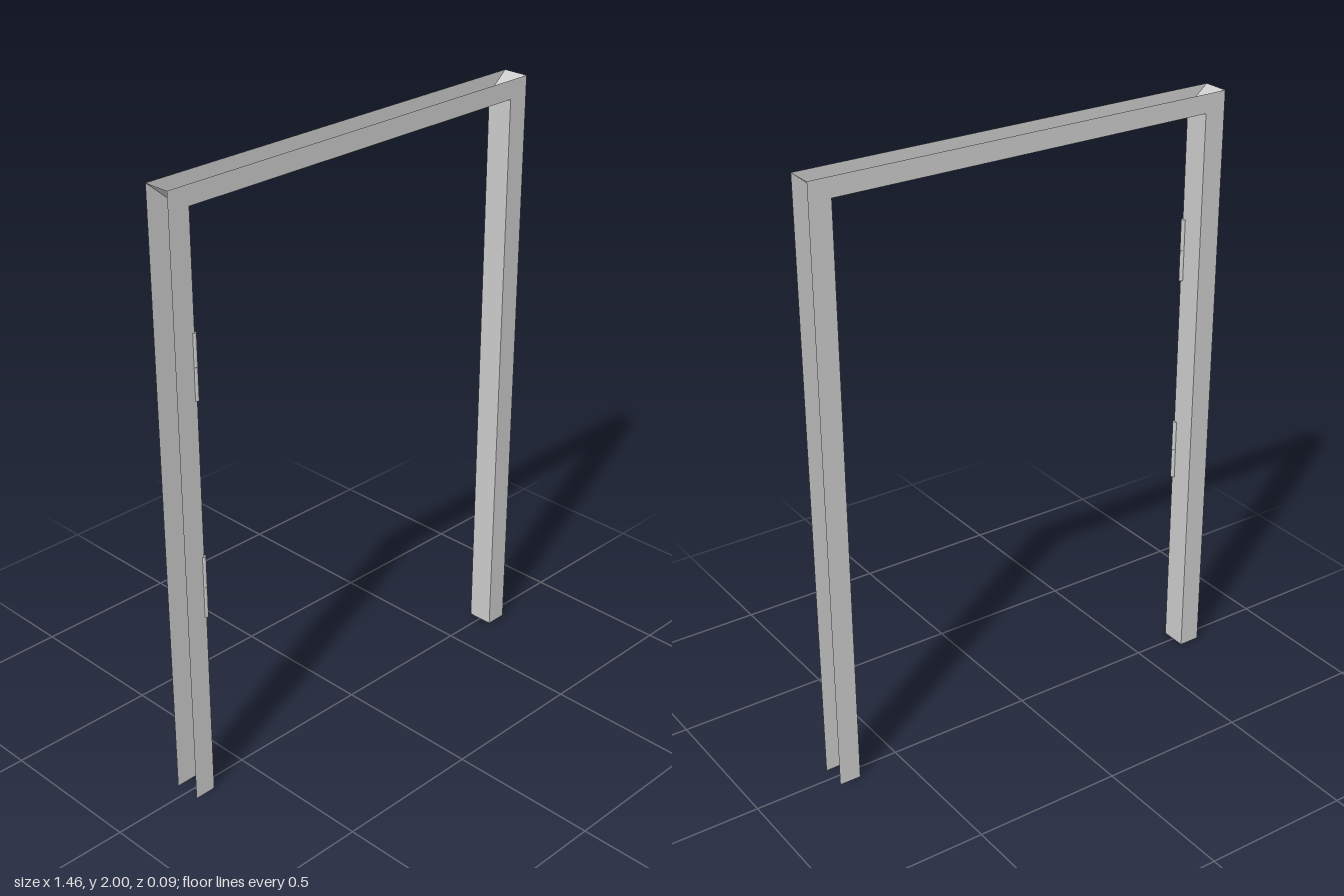
import * as THREE from 'three';

const material = new THREE.MeshStandardMaterial({ color: 0xcccccc, side: THREE.DoubleSide });
const D = 0.044;                         // half depth of the frame
const outer = [[-0.73, 0], [-0.73, 2], [0.73, 2], [0.73, 0]];
const inner = [[-0.657, 0], [-0.657, 1.938], [0.657, 1.938], [0.657, 0]];

function addMesh(parent, name, geometry) {
  const mesh = new THREE.Mesh(geometry, material);
  mesh.name = name;
  parent.add(mesh);
  return mesh;
}

// flat sheet through four corners
function sheet(a, b, c, d) {
  const geometry = new THREE.BufferGeometry();
  geometry.setAttribute('position', new THREE.Float32BufferAttribute([a, b, c, d].flat(), 3));
  geometry.setIndex([0, 1, 2, 0, 2, 3]);
  geometry.computeVertexNormals();
  return geometry;
}

// sheet spanning the frame depth along a line in the xy plane
const acrossDepth = (p, q) => sheet([...p, D], [...p, -D], [...q, -D], [...q, D]);

export function createModel() {
  const model = new THREE.Group();
  model.name = 'doorFrame';

  // U-shaped channels, open towards the wall: two posts and the head
  ['rightPost', 'head', 'leftPost'].forEach((name, i) => {
    const channel = new THREE.Group();
    channel.name = name;
    const [o0, o1, i0, i1] = [outer[i], outer[i + 1], inner[i], inner[i + 1]];
    addMesh(channel, 'frontFlange', sheet([...o0, D], [...i0, D], [...i1, D], [...o1, D]));
    addMesh(channel, 'backFlange', sheet([...o0, -D], [...o1, -D], [...i1, -D], [...i0, -D]));
    addMesh(channel, 'web', acrossDepth(i0, i1));
    model.add(channel);
  });

  // mitre plates closing the two upper corners
  addMesh(model, 'rightMitrePlate', acrossDepth(inner[1], outer[1]));
  addMesh(model, 'leftMitrePlate', acrossDepth(outer[2], inner[2]));

  // two hinges on the right post, each with an upper and a lower knuckle
  for (const [name, y] of [['lowerHinge', 0.745], ['upperHinge', 1.465]]) {
    const hinge = new THREE.Group();
    hinge.name = name;
    hinge.position.set(-0.657, y, 0.04);
    for (const side of [-1, 1]) {
      const knuckle = addMesh(hinge, side < 0 ? 'lowerKnuckle' : 'upperKnuckle',
        new THREE.CylinderGeometry(0.008, 0.008, 0.104, 16));
      knuckle.position.y = side * 0.0525;
    }
    model.add(hinge);
  }
  return model;
}
